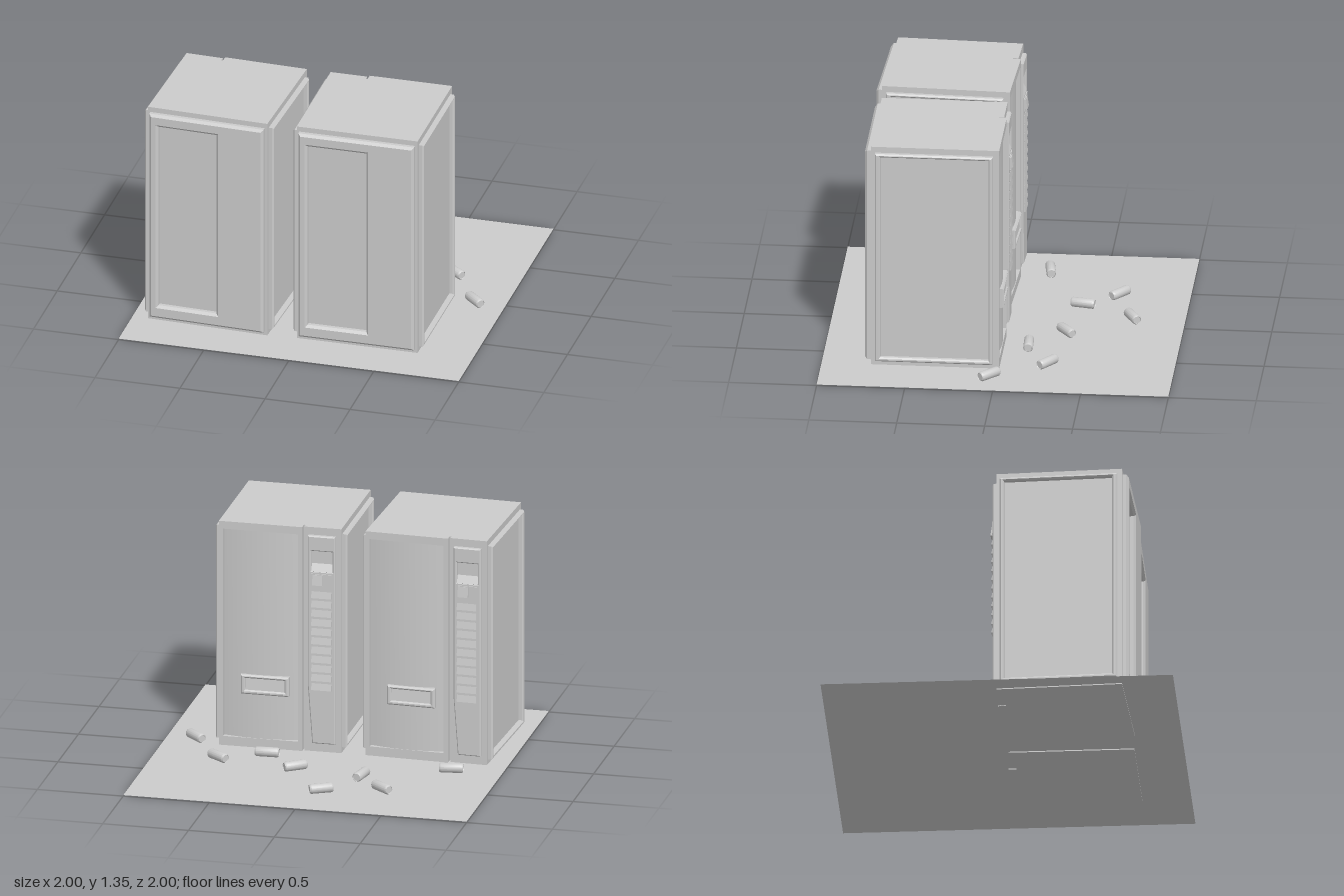
import * as THREE from 'three';
import { toCreasedNormals } from 'three/addons/utils/BufferGeometryUtils.js';

const grey = new THREE.MeshStandardMaterial({ color: 0xcccccc });
const sheet = new THREE.MeshStandardMaterial({ color: 0xcccccc, side: THREE.DoubleSide });

function add(group, name, geometry, material = grey) {
  const mesh = new THREE.Mesh(geometry, material);
  mesh.name = name;
  group.add(mesh);
  return mesh;
}

// Box given by its limits on each axis
function box(group, name, [x0, x1], [y0, y1], [z0, z1]) {
  const mesh = add(group, name, new THREE.BoxGeometry(x1 - x0, y1 - y0, z1 - z0));
  mesh.position.set((x0 + x1) / 2, (y0 + y1) / 2, (z0 + z1) / 2);
  return mesh;
}

function rect([x0, x1], [y0, y1], Type = THREE.Shape) {
  return new Type([[x0, y0], [x1, y0], [x1, y1], [x0, y1]].map(p => new THREE.Vector2(...p)));
}

// Bevelled plate lying in XY, its outer face at z = depth
function plate(shape, hole, depth, bevel) {
  if (hole) shape.holes.push(rect(...hole, THREE.Path));
  const g = new THREE.ExtrudeGeometry(shape, {
    depth: depth - bevel, bevelEnabled: bevel > 0, bevelThickness: bevel,
    bevelSize: bevel, bevelOffset: -bevel, bevelSegments: 1,
  });
  return g;
}

function createMachine() {
  const m = new THREE.Group();
  m.name = 'vendingMachine';

  // Cabinet
  box(m, 'cabinetCore', [-0.355, 0.355], [0, 1.345], [-0.325, 0.36]);

  // Framed, recessed side panels
  for (const s of [-1, 1]) {
    const frame = add(m, 'sideFrame', plate(rect([-0.335, 0.335], [0.035, 1.31]),
      [[-0.305, 0.31], [0.06, 1.29]], 0.028, 0.008));
    frame.rotation.y = s * Math.PI / 2;
    if (s < 0) frame.scale.x = -1;
    frame.position.x = s * 0.355;
  }

  // Back slab with a tall recess
  add(m, 'backPanel', plate(rect([-0.34, 0.34], [0.03, 1.315]),
    [[-0.285, 0.06], [0.11, 1.24]], 0.036, 0.014)).position.z = 0.36;

  // Face frame around the door, and the narrower control column beside it
  const doorFrame = add(m, 'doorFrame', plate(rect([-0.13, 0.355], [0, 1.345]),
    [[-0.105, 0.33], [0.06, 1.3]], 0.045, 0));
  doorFrame.position.z = -0.37;
  box(m, 'controlColumn', [-0.355, -0.14], [0, 1.345], [-0.355, -0.325]);

  // Bowed door
  const bow = new THREE.Shape();
  bow.moveTo(0.33, 0.3);
  bow.lineTo(0.33, 0.34);
  bow.quadraticCurveTo(0.1125, 0.394, -0.105, 0.34);
  bow.lineTo(-0.105, 0.3);
  const doorGeo = new THREE.ExtrudeGeometry(bow, { depth: 1.24, bevelEnabled: false, curveSegments: 16 });
  doorGeo.rotateX(-Math.PI / 2);
  add(m, 'door', toCreasedNormals(doorGeo, 0.5)).position.y = 0.06;

  // Delivery slot: raised frame with a sloping flap
  const slot = add(m, 'slotFrame', plate(rect([-0.055, 0.225], [0.325, 0.44]),
    [[-0.03, 0.2], [0.35, 0.42]], 0.04, 0.008));
  slot.rotation.y = Math.PI;
  slot.position.set(0.17, 0, -0.345);
  const flap = box(m, 'slotFlap', [-0.03, 0.2], [0.345, 0.425], [-0.372, -0.364]);
  flap.rotation.x = 0.12;

  // Control panel, narrowing toward the foot, with a display opening
  const outline = new THREE.Shape([[0.165, 1.3], [0.325, 1.3], [0.325, 0.06], [0.19, 0.06], [0.165, 0.4]]
    .map(p => new THREE.Vector2(...p)));
  const panel = add(m, 'controlPanel', plate(outline, [[0.185, 0.308], [1.09, 1.21]], 0.025, 0.006));
  panel.rotation.y = Math.PI;
  panel.position.z = -0.355;
  const shelf = box(m, 'displayShelf', [-0.308, -0.185], [1.08, 1.13], [-0.37, -0.35]);
  shelf.rotation.x = 0.5;

  // Coin unit
  box(m, 'coinPlate', [-0.305, -0.185], [1.0, 1.075], [-0.386, -0.375]);
  const coin = box(m, 'coinSlot', [-0.255, -0.195], [1.01, 1.07], [-0.396, -0.38]);
  coin.rotation.x = 0.15;

  // Selection buttons
  for (let i = 0; i < 11; i++) {
    const y = 0.4 + i * 0.055;
    const button = box(m, 'button', [-0.303, -0.187], [y - 0.02, y + 0.02], [-0.386, -0.372]);
    button.rotation.x = 0.2;
  }
  return m;
}

// Drink can lying on its side, along x
function createCan() {
  const r = 0.028, h = 0.069;
  const profile = [[0, -h + 0.004], [r * 0.75, -h + 0.004], [r * 0.8, -h], [r, -h + 0.009],
    [r, h - 0.009], [r * 0.8, h], [r * 0.75, h - 0.004], [0, h - 0.004]];
  const g = new THREE.LatheGeometry(profile.map(p => new THREE.Vector2(...p)), 16);
  return toCreasedNormals(g.rotateZ(Math.PI / 2), 0.6);
}

export function createModel() {
  const model = new THREE.Group();
  model.name = 'vendingMachines';

  // Ground sheet
  const ground = add(model, 'groundSheet', new THREE.PlaneGeometry(2, 2).rotateX(-Math.PI / 2), sheet);
  ground.position.y = 0.006;

  // Two machines, one turned slightly
  for (const [x, turn] of [[0.325, 0], [-0.54, -0.04]]) {
    const machine = createMachine();
    machine.position.set(x, 0, 0.36);
    machine.rotation.y = turn;
    model.add(machine);
  }

  // Scattered cans: x, z, heading in degrees
  const canGeo = createCan();
  const cans = [[-0.41, -0.6, 39], [-0.08, -0.7, -28], [-0.245, -0.405, 101], [0.155, -0.345, -36],
    [0.62, -0.28, 37], [0.365, -0.15, -2], [-0.715, -0.18, -8], [0.825, 0.035, 44]];
  for (const [x, z, a] of cans) {
    const can = add(model, 'can', canGeo);
    can.position.set(x, 0.034, z);
    can.rotation.y = -THREE.MathUtils.degToRad(a);
  }
  return model;
}
